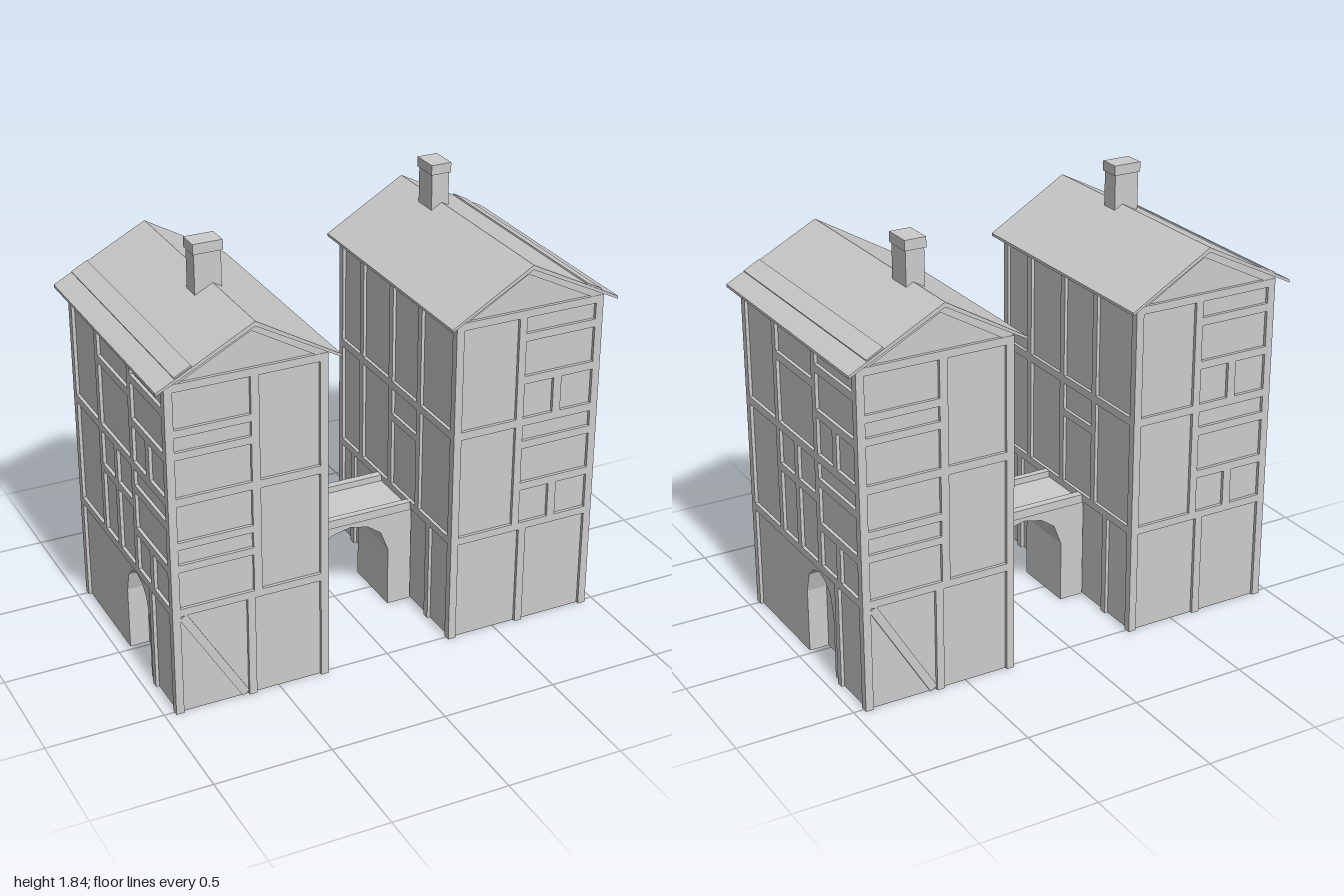
import * as THREE from 'three';

const material = new THREE.MeshStandardMaterial({ color: 0xcccccc, flatShading: true, side: THREE.DoubleSide });
const X0 = 0.28, X1 = 0.955, Z = 0.52, INSET = 0.014, RIDGE = 0.596;
const FLOORS = [[0.485, 0.94], [0.975, 1.425]];

function add(parent, name, geometry, x = 0, y = 0, z = 0) {
  const mesh = new THREE.Mesh(geometry, material);
  mesh.name = name;
  mesh.position.set(x, y, z);
  parent.add(mesh);
  return mesh;
}

function box(parent, name, x0, x1, y0, y1, z0, z1) {
  return add(parent, name, new THREE.BoxGeometry(x1 - x0, y1 - y0, z1 - z0),
    (x0 + x1) / 2, (y0 + y1) / 2, (z0 + z1) / 2);
}

const shapeOf = (pts) => new THREE.Shape(pts.map(([x, y]) => new THREE.Vector2(x, y)));

// Faceted arch outline, from the right foot over the crown to the left foot
function archPoints(center, half, spring, crown) {
  const rise = crown - spring;
  const side = [[1, -1], [1, 0], [0.8, 0.6], [0.46, 0.88]];
  const at = (s) => ([u, v]) => [center + s * half * u, v < 0 ? 0 : spring + rise * v];
  return [...side.map(at(1)), [center, crown], ...side.map(at(-1)).reverse()];
}

// Timber on a wall, in the wall's own plane with its outer surface at local z = 0
const beam = (face, u0, u1, v0, v1) => box(face, 'timber', u0, u1, v0, v1, -0.02, 0);

function slantBeam(face, a, b, width = 0.035) {
  const dx = b[0] - a[0], dy = b[1] - a[1];
  const bar = add(face, 'slantTimber', new THREE.BoxGeometry(Math.hypot(dx, dy), width, 0.018),
    (a[0] + b[0]) / 2, (a[1] + b[1]) / 2, -0.011);
  bar.rotation.z = Math.atan2(dy, dx);
}

// A wall panel framed by corner posts and the floor beams
function wall(house, name, angle, x, z, u0, u1, outline) {
  const face = new THREE.Group();
  face.name = name;
  face.rotation.y = angle;
  face.position.set(x, 0, z);
  house.add(face);
  add(face, 'wallPanel', new THREE.ShapeGeometry(shapeOf(outline)), 0, 0, -INSET);
  beam(face, u0, u0 + 0.034, 0, 1.45);
  beam(face, u1 - 0.034, u1, 0, 1.45);
  for (const [v0, v1] of [[0.452, 0.485], [0.94, 0.975], [1.425, 1.458]]) beam(face, u0, u1, v0, v1);
  return face;
}

// Bay with two rails per storey and a short post under the lower one
function railBay(face, u0, u1, post) {
  for (const [v0, v1] of FLOORS) {
    beam(face, u0, u1, v1 - 0.105, v1 - 0.07);
    beam(face, u0, u1, v0 + 0.155, v0 + 0.19);
    beam(face, post, post + 0.037, v0, v0 + 0.155);
  }
}

function gable(house, name, angle, z, u0, u1, peak) {
  const face = wall(house, name, angle, 0, z, u0, u1,
    [[u0 + INSET, 0], [u1 - INSET, 0], [u1 - INSET, 1.465], [peak, 1.648], [u0 + INSET, 1.465]]);
  slantBeam(face, [u0 + 0.01, 1.453], [peak, 1.632]);
  slantBeam(face, [peak, 1.632], [u1 - 0.01, 1.453]);
  return face;
}

function makeHouse(name) {
  const house = new THREE.Group();
  house.name = name;

  // Front gable
  const front = gable(house, 'frontGable', 0, Z, X0, X1, RIDGE);
  beam(front, 0.567, 0.6, 0.485, 1.43);
  beam(front, 0.602, 0.636, 0, 0.455);
  railBay(front, 0.6, 0.925, 0.737);

  // Back gable with the diagonal brace
  const back = gable(house, 'backGable', Math.PI, -Z, -X1, -X0, -RIDGE);
  beam(back, -0.605, -0.57, 0.485, 1.43);
  beam(back, -0.635, -0.602, 0, 0.455);
  slantBeam(back, [-0.91, 0.445], [-0.65, 0.012]);
  for (const v of [0.65, 0.75, 1.14, 1.235]) beam(back, -0.925, -0.605, v, v + 0.032);

  // Outer wall with the arched doorway
  const arch = archPoints(0.1, 0.122, 0.28, 0.425);
  const e = Z - INSET;
  const outer = wall(house, 'outerWall', Math.PI / 2, X1, 0, -Z, Z,
    [[-e, 0], ...arch.slice().reverse(), [e, 0], [e, 1.46], [-e, 1.46]]);
  beam(outer, -0.23, -0.197, 0.485, 1.43);
  beam(outer, 0.13, 0.163, 0.485, 1.43);
  beam(outer, 0.27, 0.302, 0, 0.455);
  beam(outer, -0.2, 0.13, 1.245, 1.28);
  beam(outer, -0.2, 0.13, 0.755, 0.79);
  beam(outer, -0.06, -0.025, 0.485, 0.94);
  railBay(outer, 0.163, 0.49, 0.298);
  add(outer, 'door', new THREE.ShapeGeometry(shapeOf(arch)), 0, 0, -0.1);
  const jamb = [];
  for (let i = 0; i < arch.length - 1; i++) {
    const [a, b, c, d] = [[...arch[i], -INSET], [...arch[i + 1], -INSET], [...arch[i + 1], -0.1], [...arch[i], -0.1]];
    jamb.push(...a, ...c, ...b, ...a, ...d, ...c);
  }
  const jambGeometry = new THREE.BufferGeometry();
  jambGeometry.setAttribute('position', new THREE.Float32BufferAttribute(jamb, 3));
  jambGeometry.computeVertexNormals();
  add(outer, 'doorJamb', jambGeometry);

  // Inner wall facing the other house
  const inner = wall(house, 'innerWall', -Math.PI / 2, X0, 0, -Z, Z,
    [[-e, 0], [e, 0], [e, 1.46], [-e, 1.46]]);
  for (const u of [-0.32, -0.05, 0.2]) beam(inner, u, u + 0.033, 0.485, 1.43);
  for (const u of [-0.4, 0.3]) beam(inner, u, u + 0.033, 0, 0.455);
  beam(inner, -0.05, 0.2, 0.79, 0.823);

  // Thin overhanging roof with a raised strip near the outer eave
  const roofSection = shapeOf([[0.24, 1.445], [RIDGE, 1.645], [1, 1.443],
    [1, 1.455], [RIDGE, 1.665], [0.24, 1.457]]);
  add(house, 'roof', new THREE.ExtrudeGeometry(roofSection, { depth: 1.11, bevelEnabled: false }), 0, 0, -0.555);
  const stripSection = shapeOf([[0.85, 1.525], [0.92, 1.49], [0.924, 1.501], [0.854, 1.538]]);
  add(house, 'roofStrip', new THREE.ExtrudeGeometry(stripSection, { depth: 1.1, bevelEnabled: false }), 0, 0, -0.55);
  return house;
}

function addChimney(parent, x, z, w, d) {
  box(parent, 'chimney', x - w / 2 + 0.006, x + w / 2 - 0.006, 1.6, 1.8, z - d / 2 + 0.006, z + d / 2 - 0.006);
  box(parent, 'chimneyCap', x - w / 2, x + w / 2, 1.795, 1.838, z - d / 2, z + d / 2);
}

export function createModel() {
  const model = new THREE.Group();
  model.name = 'timberHouses';

  // Two equal houses, turned half a circle from each other
  const right = makeHouse('leftHouse');
  const left = makeHouse('rightHouse');
  left.rotation.y = Math.PI;
  model.add(right, left);
  addChimney(model, 0.588, -0.25, 0.092, 0.125);
  addChimney(model, -0.615, 0.118, 0.125, 0.092);

  // Arched bridge between the houses
  const arch = archPoints(0, 0.181, 0.27, 0.425);
  const section = shapeOf([[-0.29, 0], ...arch.slice().reverse(), [0.29, 0], [0.29, 0.455], [-0.29, 0.455]]);
  add(model, 'bridge', new THREE.ExtrudeGeometry(section, { depth: 0.286, bevelEnabled: false }), 0, 0, -0.133);
  for (const [z0, z1] of [[-0.14, -0.105], [0.13, 0.16]]) {
    box(model, 'bridgeBeam', -0.285, 0.285, 0.445, 0.483, z0, z1);
  }
  return model;
}
